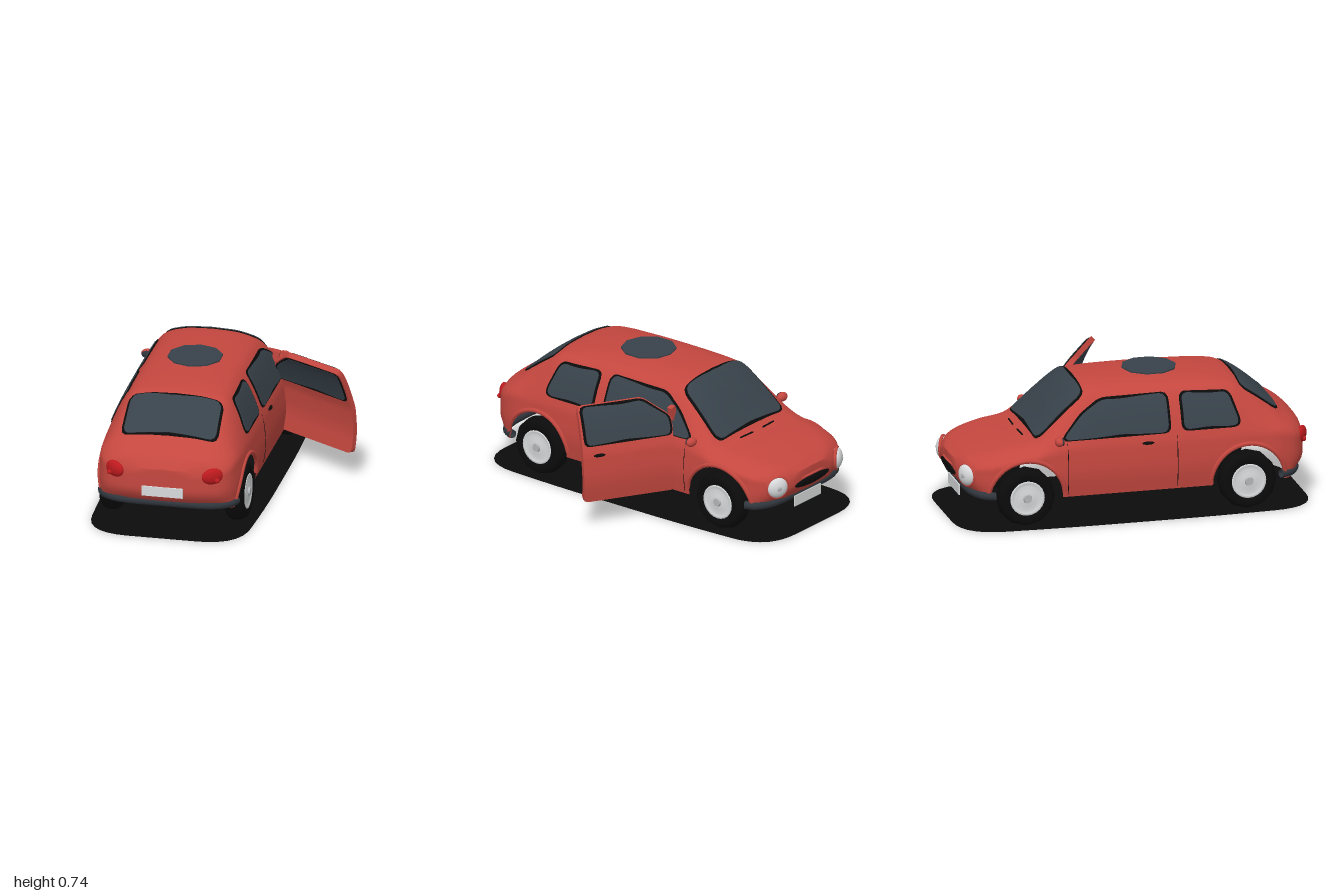
import * as THREE from 'three';

const V3 = THREE.Vector3;
const mat = (name, color) => new THREE.MeshStandardMaterial({ name, color, side: THREE.DoubleSide });

// Body stations: z, width, beltX, beltY, shoulderX, shoulderY, roofY, bottomY
const KEYS = [
  [-0.966, 0.20, 0.19, 0.30, 0.13, 0.335, 0.345, 0.20],
  [-0.93, 0.29, 0.28, 0.32, 0.20, 0.36, 0.37, 0.18],
  [-0.85, 0.365, 0.355, 0.345, 0.26, 0.385, 0.395, 0.165],
  [-0.72, 0.40, 0.39, 0.37, 0.30, 0.415, 0.43, 0.155],
  [-0.58, 0.405, 0.395, 0.39, 0.32, 0.435, 0.455, 0.155],
  [-0.52, 0.405, 0.39, 0.41, 0.315, 0.475, 0.505, 0.155],
  [-0.42, 0.405, 0.388, 0.435, 0.30, 0.56, 0.61, 0.155],
  [-0.30, 0.405, 0.386, 0.445, 0.28, 0.655, 0.715, 0.155],
  [-0.24, 0.405, 0.385, 0.45, 0.275, 0.672, 0.732, 0.155],
  [0, 0.405, 0.385, 0.45, 0.275, 0.68, 0.738, 0.155],
  [0.3, 0.405, 0.385, 0.45, 0.275, 0.68, 0.73, 0.155],
  [0.55, 0.405, 0.385, 0.45, 0.275, 0.665, 0.708, 0.155],
  [0.63, 0.403, 0.383, 0.45, 0.275, 0.63, 0.68, 0.155],
  [0.72, 0.40, 0.38, 0.44, 0.28, 0.57, 0.615, 0.155],
  [0.82, 0.385, 0.37, 0.43, 0.28, 0.50, 0.53, 0.155],
  [0.90, 0.35, 0.34, 0.40, 0.255, 0.455, 0.48, 0.165],
  [0.95, 0.28, 0.27, 0.38, 0.20, 0.42, 0.435, 0.18],
  [0.966, 0.20, 0.19, 0.36, 0.14, 0.39, 0.40, 0.20],
];
const ARCHES = [-0.63, 0.615], ARCH_R = 0.2, HUB_Y = 0.165;
const clamp = THREE.MathUtils.clamp;

// Smooth (Hermite) interpolation between stations
function station(z) {
  let i = 0;
  while (i < KEYS.length - 2 && z > KEYS[i + 1][0]) i++;
  const a = KEYS[i], b = KEYS[i + 1], p = KEYS[Math.max(i - 1, 0)], n = KEYS[Math.min(i + 2, KEYS.length - 1)];
  const h = b[0] - a[0], u = clamp((z - a[0]) / h, 0, 1);
  return a.map((v, k) => {
    const m0 = (b[k] - p[k]) / (b[0] - p[0]) * h, m1 = (n[k] - v) / (n[0] - a[0]) * h;
    return v + u * m0 + u * u * (3 * (b[k] - v) - 2 * m0 - m1) + u * u * u * (2 * (v - b[k]) + m0 + m1);
  });
}

// Half cross-section, t = 0 at the sill and 1 at the centre line
const cache = new Map();
function section(z) {
  if (!cache.has(z)) {
    const [, w, bx, by, sx, sy, top, bot] = station(z), mid = bot + (by - bot) * 0.4;
    cache.set(z, new THREE.CatmullRomCurve3([
      [w * 0.965, bot], [w, mid], [(w + bx) / 2 + 0.003, mid + (by - mid) * 0.6], [bx, by],
      [sx, sy], [sx * 0.6, sy + (top - sy) * 0.78], [0, top],
    ].map(([x, y]) => new V3(x, y, 0))));
  }
  return cache.get(z);
}
function surf(z, t) {
  const p = section(z).getPoint(clamp(t, 0, 1));
  const tuck = clamp((0.28 - p.y) / 0.1, 0, 1) ** 2 * clamp((Math.abs(z) - 0.85) / 0.1, 0, 1);
  p.z = z - Math.sign(z) * 0.055 * tuck;
  return p;
}
function solve(z, lo, test) {
  let a = lo, b = 1;
  for (let i = 0; i < 18; i++) {
    const m = (a + b) / 2;
    if (test(section(z).getPoint(m))) a = m; else b = m;
  }
  return (a + b) / 2;
}
function lifted(z, t, off) {
  const e = 0.004, p = surf(z, t);
  const n = surf(z + e, t).sub(surf(z - e, t)).cross(surf(z, t + e).sub(surf(z, t - e))).normalize();
  if (n.x * p.x + n.y * (p.y - 0.3) < 0) n.negate();
  return p.addScaledVector(n, off);
}
const onSide = (z, y, off) => lifted(z, solve(z, 0, p => p.y < y), off);
const onTop = (x, z, off) => {
  const p = lifted(z, solve(z, 0.4, q => q.x > Math.abs(x)), off);
  if (x < 0) p.x *= -1;
  return p;
};

function geometry(points, index) {
  const g = new THREE.BufferGeometry().setFromPoints(points);
  g.setIndex(index);
  g.computeVertexNormals();
  return g;
}

// Body shell lofted through the stations, with the wheel arches cut from its lower edge
function bodyGeometry() {
  const zs = [];
  for (let i = 0; i <= 80; i++) zs.push(-0.966 + 1.932 * i / 80);
  for (const c of ARCHES) for (let i = 0; i <= 24; i++) zs.push(c - ARCH_R * Math.cos(Math.PI * i / 24));
  zs.sort((a, b) => a - b);
  const N = 22, rings = zs.map(z => {
    let t0 = 0;
    for (const c of ARCHES) {
      const d = ARCH_R ** 2 - (z - c) ** 2;
      if (d > 0) t0 = solve(z, 0, p => p.y < HUB_Y + Math.sqrt(d));
    }
    const half = Array.from({ length: N + 1 }, (_, i) => surf(z, t0 + (1 - t0) * i / N));
    return [...half, ...half.slice(0, N).reverse().map(p => new V3(-p.x, p.y, p.z))];
  });
  const shut = (ring, s, dz) => ring.map(p => new V3(p.x * s, p.y, p.z + dz));
  const first = rings[0], last = rings[rings.length - 1];
  rings.unshift(shut(first, 0, -0.009), shut(first, 0.6, -0.006));
  rings.push(shut(last, 0.6, 0.006), shut(last, 0, 0.009));
  const M = 2 * N + 1, idx = [];
  for (let r = 0; r < rings.length - 1; r++) for (let i = 0; i < M - 1; i++) {
    const a = r * M + i, b = a + M;
    idx.push(a, a + 1, b, b, a + 1, b + 1);
  }
  return geometry(rings.flat(), idx);
}

// Polygon with rounded corners, as evenly spaced points
function rounded(corners, r, count = 64) {
  const s = new THREE.Shape(), v = corners.map(c => new THREE.Vector2(...c)), n = v.length;
  v.forEach((c, i) => {
    const toward = q => c.clone().add(q.clone().sub(c).setLength(Math.min(r, q.distanceTo(c) / 2)));
    const a = toward(v[(i + n - 1) % n]), b = toward(v[(i + 1) % n]);
    if (i) s.lineTo(a.x, a.y); else s.moveTo(a.x, a.y);
    s.quadraticCurveTo(c.x, c.y, b.x, b.y);
  });
  s.closePath();
  return s.getSpacedPoints(count).slice(0, count);
}

// Plate that follows the body surface between two offsets
function slab(outline, project, outer, inner) {
  const n = outline.length, R = 7, pts = [], idx = [];
  const c = outline.reduce((s, p) => s.add(p), new THREE.Vector2()).divideScalar(n);
  const at = (p, k, off) => project(c.x + (p.x - c.x) * k, c.y + (p.y - c.y) * k, off);
  [outer, inner].forEach((off, side) => {
    const base = pts.length, tri = (a, b, d) => side ? idx.push(a, d, b) : idx.push(a, b, d);
    pts.push(project(c.x, c.y, off));
    for (let r = 1; r <= R; r++) for (const p of outline) pts.push(at(p, r / R, off));
    for (let i = 0; i < n; i++) {
      const j = (i + 1) % n;
      tri(base, base + 1 + i, base + 1 + j);
      for (let r = 0; r < R - 1; r++) {
        const a = base + 1 + r * n, b = a + n;
        tri(a + i, b + i, b + j);
        tri(a + i, b + j, a + j);
      }
    }
  });
  const e = pts.length;
  for (const off of [outer, inner]) for (const p of outline) pts.push(at(p, 1, off));
  for (let i = 0; i < n; i++) {
    const j = (i + 1) % n;
    idx.push(e + i, e + n + i, e + j, e + j, e + n + i, e + n + j);
  }
  return geometry(pts, idx);
}

export function createModel() {
  const model = new THREE.Group(), car = new THREE.Group();
  car.name = 'car';
  car.position.x = -0.197;
  model.add(car);
  const red = mat('bodyRed', 0xc4473f), glass = mat('glass', 0x38424a), black = mat('black', 0x0b0b0b);
  const grey = mat('bumperGrey', 0x30363d), white = mat('lampWhite', 0xd8dadb), lamp = mat('tailRed', 0xbe1a1e);
  const silver = mat('hubSilver', 0xb4b6b8);
  const add = (name, geo, m, parent = car, pos = [0, 0, 0]) => {
    const mesh = new THREE.Mesh(geo, m);
    mesh.name = name;
    mesh.position.set(...pos);
    parent.add(mesh);
    return mesh;
  };
  const blob = (name, m, size, pos, parent = car) => add(name, new THREE.SphereGeometry(1, 20, 14).scale(...size), m, parent, pos);
  const pane = (name, corners, project, r, parent = car, back = 0) => {
    const line = rounded(corners, r), c = line.reduce((s, p) => s.add(p), new THREE.Vector2()).divideScalar(line.length);
    const small = line.map(p => p.clone().sub(c)).map(p => p.setLength(p.length() - 0.014).add(c));
    add(name + 'Frame', slab(line, project, 0.004, -0.002 - back), black, parent);
    add(name + 'Glass', slab(small, project, 0.008, -0.004 - back), glass, parent);
  };

  add('body', bodyGeometry(), red);
  pane('windscreen', [[-0.295, -0.555], [0.295, -0.555], [0.262, -0.275], [-0.262, -0.275]], onTop, 0.05);
  pane('rearWindow', [[-0.262, 0.6], [0.262, 0.6], [0.27, 0.815], [-0.27, 0.815]], onTop, 0.045);
  add('sunroof', new THREE.CylinderGeometry(0.152, 0.152, 0.008, 10), glass, car, [0, 0.739, 0.155]);

  // Parts repeated on both flanks
  for (const s of [1, -1]) {
    const flank = new THREE.Group();
    flank.name = s > 0 ? 'leftFlank' : 'rightFlank';
    flank.scale.x = s;
    car.add(flank);
    pane('frontSide', [[0.185, 0.468], [0.185, 0.675], [-0.2, 0.67], [-0.31, 0.605], [-0.44, 0.465]], onSide, 0.04, flank);
    pane('rearSide', [[0.245, 0.472], [0.245, 0.673], [0.53, 0.66], [0.58, 0.5], [0.56, 0.472]], onSide, 0.04, flank);
    const handle = onSide(0.05, 0.425, 0.004);
    blob('doorHandle', black, [0.01, 0.009, 0.034], handle.toArray(), flank);
    for (const z of [-0.4, 0.215]) {
      const seam = [0.17, 0.25, 0.33, 0.4, 0.455].map(y => onSide(z, y, 0));
      add('doorSeam', new THREE.TubeGeometry(new THREE.CatmullRomCurve3(seam), 12, 0.002, 4), black, flank);
    }
    blob('mirror', red, [0.036, 0.026, 0.024], [0.4, 0.473, -0.452], flank);
    blob('mirrorGlass', grey, [0.031, 0.021, 0.01], [0.4, 0.473, -0.435], flank);

    for (const c of ARCHES) {
      const arc = [];
      for (let i = 0; i <= 16; i++) {
        const a = Math.PI * (0.04 + 0.92 * i / 16);
        arc.push(onSide(c + 0.212 * Math.cos(a), HUB_Y + 0.212 * Math.sin(a), -0.003));
      }
      add('wheelArch', new THREE.TubeGeometry(new THREE.CatmullRomCurve3(arc), 40, 0.013, 8), red, flank);
      const wheel = new THREE.Group();
      wheel.name = 'wheel';
      wheel.position.set(0.347, HUB_Y, c);
      wheel.rotation.z = -Math.PI / 2;
      flank.add(wheel);
      const tyre = [[0.09, -0.05], [0.135, -0.056], [0.153, -0.04], [0.162, -0.02], [0.162, 0.02], [0.153, 0.04], [0.135, 0.056], [0.095, 0.05], [0.09, 0.03]];
      add('tyre', new THREE.LatheGeometry(tyre.map(p => new THREE.Vector2(...p)), 12), black, wheel).rotation.y = Math.PI / 2;
      const hub = [[0.098, 0.046], [0.096, 0.054], [0.085, 0.053], [0.07, 0.047], [0.045, 0.053], [0, 0.056]];
      add('hubcap', new THREE.LatheGeometry(hub.map(p => new THREE.Vector2(...p)), 24), white, wheel);
      add('hubCentre', new THREE.CylinderGeometry(0.022, 0.026, 0.012, 16), silver, wheel, [0, 0.058, 0]);
      add('wheelBack', new THREE.CylinderGeometry(0.095, 0.095, 0.01, 12), black, wheel, [0, -0.045, 0]);
    }

    // Lamps
    const head = new THREE.Group();
    head.name = 'headlight';
    head.position.set(0.262, 0.285, -0.934);
    head.rotation.y = Math.PI - 0.5;
    flank.add(head);
    add('headlightRim', new THREE.TorusGeometry(0.06, 0.009, 8, 28), red, head);
    blob('headlightLens', white, [0.06, 0.06, 0.034], [0, 0, 0], head);
    blob('headlightCentre', silver, [0.014, 0.014, 0.006], [0, 0, 0.031], head);
    const tail = blob('tailLight', lamp, [0.062, 0.046, 0.024], [0.272, 0.37, 0.942], flank);
    tail.rotation.y = 0.55;
    blob('tailLightBulb', lamp, [0.016, 0.014, 0.012], [0.298, 0.35, 0.95], flank);
    add('wiper', slab(rounded([[0.04, -0.6], [0.15, -0.595], [0.15, -0.588], [0.04, -0.592]], 0.003, 24), onTop, 0.005, 0), black, flank);
  }

  // Bumpers, grille and plates
  for (const [name, s, reach] of [['rearBumper', 1, 0.915], ['frontBumper', -1, 0.91]]) {
    const path = [[-0.375, 0.80], [-0.355, 0.85], [-0.27, reach - 0.012], [0, reach + 0.003], [0.27, reach - 0.012], [0.355, 0.85], [0.375, 0.80]];
    const curve = new THREE.CatmullRomCurve3(path.map(([x, z]) => new V3(x, 0.185, s * z)));
    add(name, new THREE.TubeGeometry(curve, 48, 0.023, 10), grey);
  }
  blob('grille', black, [0.15, 0.026, 0.014], [0, 0.262, -0.97]);
  blob('grilleBar', red, [0.1, 0.006, 0.012], [0, 0.295, -0.972]);
  add('rearPlate', new THREE.BoxGeometry(0.23, 0.055, 0.01), white, car, [0, 0.268, 0.978]);
  add('frontPlate', new THREE.BoxGeometry(0.23, 0.06, 0.008), white, car, [0, 0.155, -0.938]);

  // Open door, swung about its front edge
  const hinge = new THREE.Group(), door = new THREE.Group();
  hinge.name = 'openDoor';
  hinge.position.set(0.392, 0, -0.335);
  hinge.rotation.y = THREE.MathUtils.degToRad(59);
  door.position.set(-0.4, 0, 0.34);
  hinge.add(door);
  car.add(hinge);
  const doorLine = [[-0.34, 0.158], [0.19, 0.158], [0.195, 0.4], [0.19, 0.683], [-0.19, 0.68], [-0.34, 0.575]];
  add('doorPanel', slab(rounded(doorLine, 0.025, 96), onSide, 0, -0.03), red, door);
  pane('door', [[-0.335, 0.475], [0.18, 0.475], [0.18, 0.677], [-0.19, 0.674], [-0.335, 0.57]], onSide, 0.03, door, 0.03);
  blob('doorHandle', black, [0.01, 0.009, 0.034], onSide(0.1, 0.425, 0.004).toArray(), door);
  add('doorCorner', new THREE.BoxGeometry(0.035, 0.08, 0.03), red, car, [0.35, 0.585, -0.28]).rotation.z = -0.25;

  // Dark base under the car
  const base = rounded([[-0.43, -0.99], [0.43, -0.99], [0.457, -0.4], [0.457, 0.4], [0.43, 1], [-0.43, 1], [-0.457, 0.4], [-0.457, -0.4]], 0.24, 96);
  add('groundShade', new THREE.ShapeGeometry(new THREE.Shape(base)).rotateX(-Math.PI / 2), black);
  return model;
}
